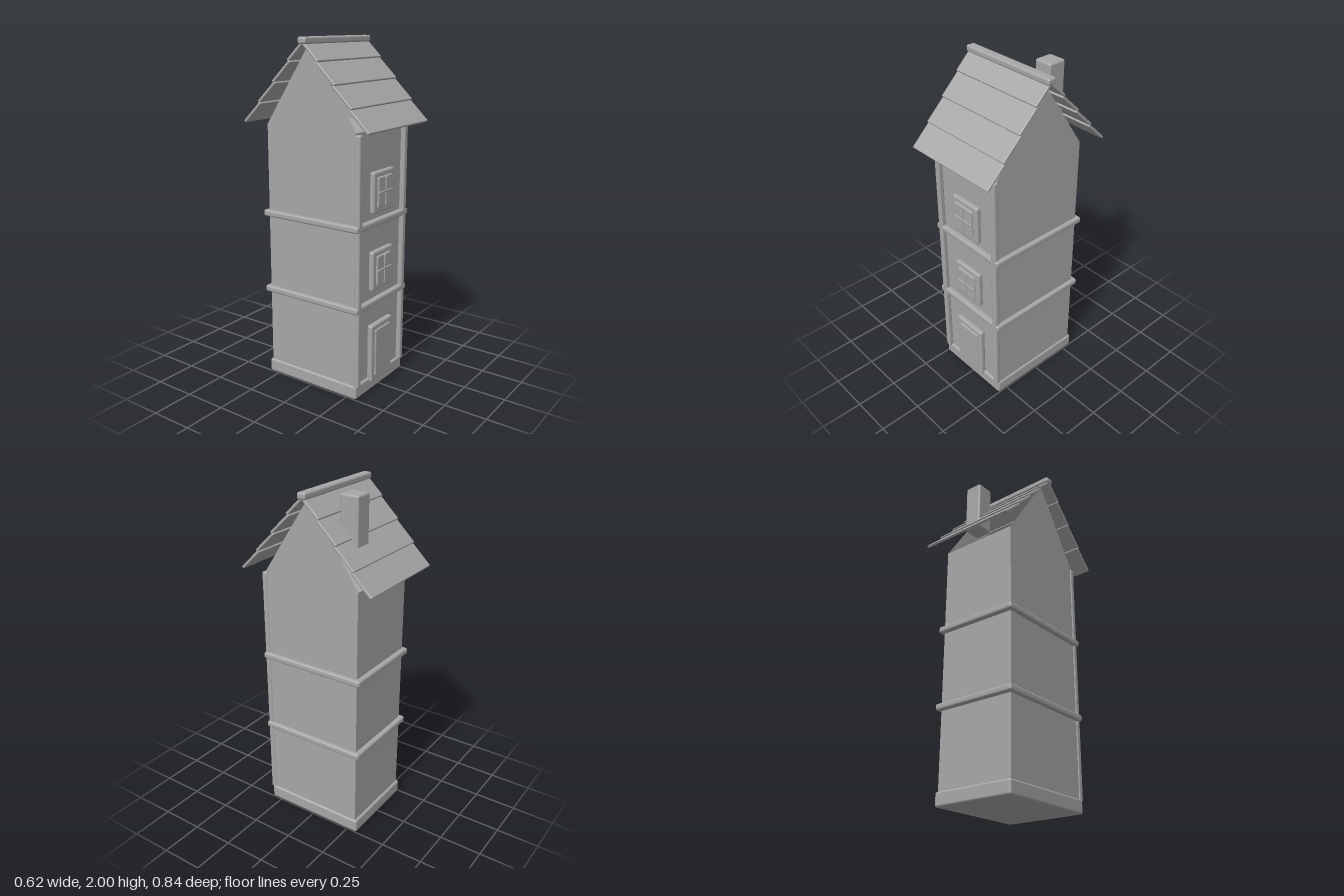
import * as THREE from 'three';
import { RoundedBoxGeometry } from 'three/addons/geometries/RoundedBoxGeometry.js';

const clay = new THREE.MeshStandardMaterial({ color: 0xa6a6a6 });
clay.name = 'clay grey';
const claySheet = clay.clone();
claySheet.side = THREE.DoubleSide;

// Rounded block given by its min and max on each axis
function block(parent, name, [x0, x1], [y0, y1], [z0, z1], radius = 0.008) {
  const size = [x1 - x0, y1 - y0, z1 - z0];
  const geometry = radius > 0
    ? new RoundedBoxGeometry(...size, 2, Math.min(radius, Math.min(...size) * 0.45))
    : new THREE.BoxGeometry(...size);
  const mesh = new THREE.Mesh(geometry, clay);
  mesh.name = name;
  mesh.position.set((x0 + x1) / 2, (y0 + y1) / 2, (z0 + z1) / 2);
  parent.add(mesh);
  return mesh;
}

// Framed window with a raised pane and crossing glazing bars
function makeWindow(y) {
  const g = new THREE.Group();
  g.name = 'window';
  block(g, 'windowFrame', [-0.104, 0.104], [-0.117, 0.117], [0.295, 0.328], 0.012);
  block(g, 'windowPane', [-0.072, 0.072], [-0.087, 0.087], [0.31, 0.338]);
  block(g, 'windowBarUpright', [-0.006, 0.006], [-0.085, 0.085], [0.325, 0.344], 0.004);
  block(g, 'windowBarCross', [-0.07, 0.07], [-0.006, 0.006], [0.325, 0.344], 0.004);
  g.position.y = y;
  return g;
}

// One roof slope: four overlapping boards
function makeSlope() {
  const slope = new THREE.Group();
  slope.name = 'roofSlope';
  const angle = 0.76;
  for (let i = 0; i < 4; i++) {
    const length = i === 3 ? 0.148 : 0.165;
    const board = new THREE.Mesh(new RoundedBoxGeometry(0.606, 0.016, length, 2, 0.005), clay);
    board.name = 'roofBoard';
    board.rotation.x = angle;
    board.position.set(0,
      1.531 + 0.115 * i + Math.sin(angle) * length / 2,
      0.416 - 0.1055 * i - Math.cos(angle) * length / 2);
    slope.add(board);
  }
  return slope;
}

export function createModel() {
  const house = new THREE.Group();
  house.name = 'towerHouse';

  // Plinth, walls and string courses
  block(house, 'plinth', [-0.25, 0.25], [0, 0.08], [-0.315, 0.315], 0.012);
  block(house, 'walls', [-0.24, 0.24], [0.04, 1.52], [-0.3, 0.3], 0);
  for (const y of [0.54, 1.005])
    block(house, 'band', [-0.263, 0.263], [y - 0.019, y + 0.019], [-0.328, 0.328], 0.012);

  // Front corner posts and triangular gables
  for (const s of [-1, 1]) {
    block(house, 'cornerPost', s < 0 ? [-0.246, -0.21] : [0.21, 0.246],
      [0.07, 1.51], [0.294, 0.328], 0.01);
    const gableShape = new THREE.Shape([
      new THREE.Vector2(-0.3, 1.52), new THREE.Vector2(0.3, 1.52), new THREE.Vector2(0, 1.968)]);
    const gable = new THREE.Mesh(new THREE.ShapeGeometry(gableShape), claySheet);
    gable.name = 'gable';
    gable.rotation.y = s * Math.PI / 2;
    gable.position.x = s * 0.24;
    house.add(gable);
  }

  // Door and windows
  block(house, 'doorFrame', [-0.11, 0.11], [0.052, 0.405], [0.295, 0.33], 0.012);
  block(house, 'doorPanel', [-0.08, 0.08], [0.085, 0.375], [0.31, 0.338], 0.01);
  for (const y of [0.727, 1.177]) house.add(makeWindow(y));

  // Roof, ridge and chimney
  const front = makeSlope();
  const back = makeSlope();
  back.rotation.y = Math.PI;
  house.add(front, back);
  block(house, 'ridge', [-0.31, 0.31], [1.962, 2], [-0.027, 0.027], 0.012);
  block(house, 'chimney', [0.05, 0.16], [1.675, 1.987], [-0.242, -0.132], 0.012);

  return house;
}
